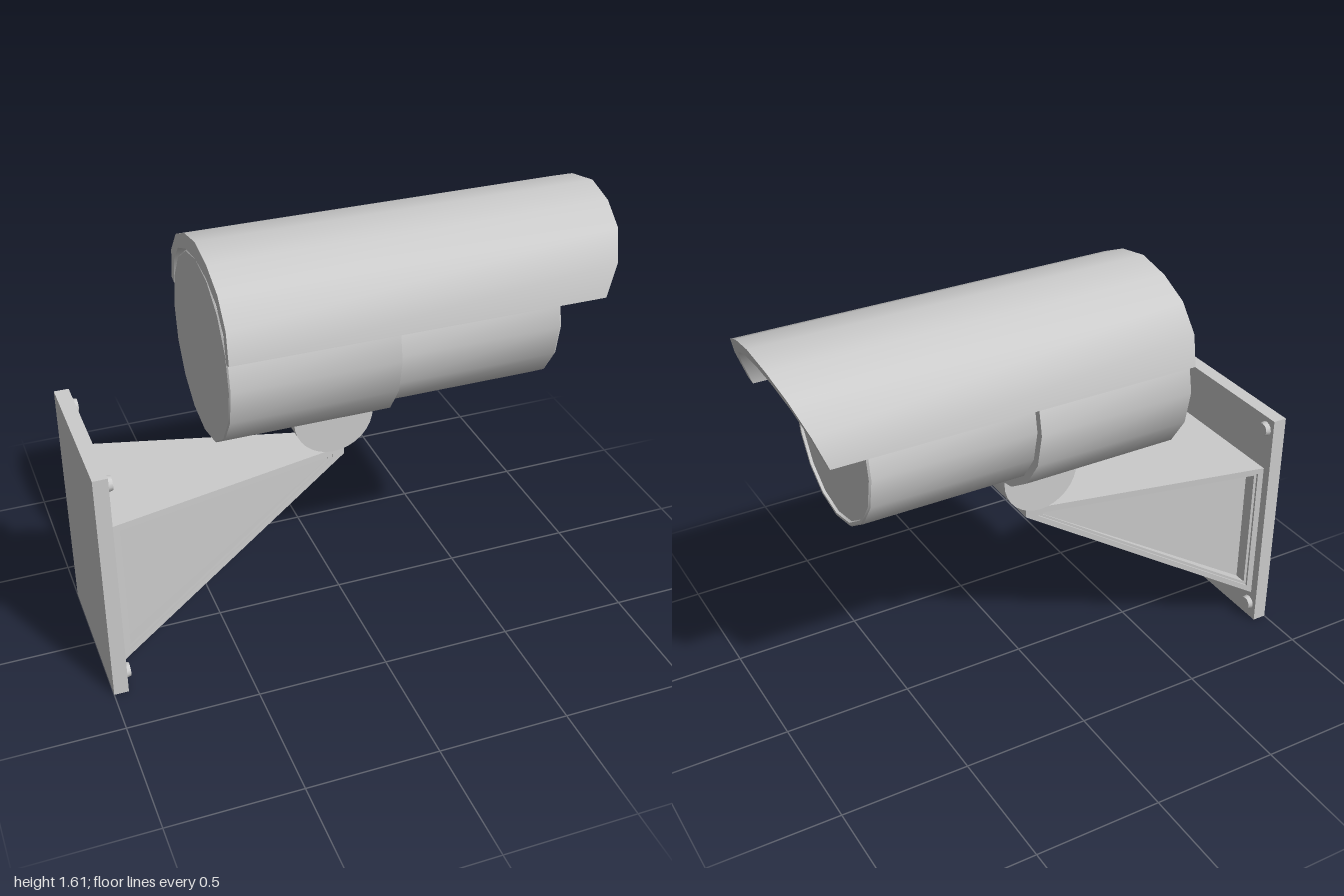
import * as THREE from 'three';
import { toCreasedNormals } from 'three/addons/utils/BufferGeometryUtils.js';

const material = new THREE.MeshStandardMaterial({ color: 0xcccccc });

// Tapered wedge arm with a stepped recess in each side, lofted from +z to -z
function bracketGeometry() {
  const rim = x => 0.056 - 0.238 * x;
  const ledge = x => rim(x) - 0.008;
  const floor = x => 0.048 - 0.185 * x;
  const outline = d => {
    const x0 = -0.945 + d, x1 = -2.2 * d;
    const top = x => 0.72 - 0.0159 * (x + 0.945) - d;
    const bottom = x => 0.12 + 0.582 * (x + 0.945) + 1.157 * d;
    return [[x0, top(x0)], [x0, bottom(x0)], [x1, bottom(x1)], [x1, top(x1)]];
  };
  const steps = [[0.032, floor], [0.032, ledge], [0.022, ledge], [0.022, rim], [0, rim]];
  const half = s => steps.map(([d, z]) => outline(d).map(([x, y]) => [x, y, s * z(x)]));
  const loops = [...half(1), ...half(-1).reverse()];
  const out = [];
  const quad = (a, b, c, d) => out.push(...a, ...b, ...c, ...a, ...c, ...d);
  for (let i = 0; i < loops.length - 1; i++) {
    for (let j = 0; j < 4; j++) {
      const k = (j + 1) % 4;
      quad(loops[i][j], loops[i + 1][j], loops[i + 1][k], loops[i][k]);
    }
  }
  quad(...loops[0]);
  quad(...[...loops[loops.length - 1]].reverse());
  const geo = new THREE.BufferGeometry();
  geo.setAttribute('position', new THREE.Float32BufferAttribute(out, 3));
  geo.computeVertexNormals();
  return geo;
}

// Arched sun hood, its front edge raked back towards the bottom
function hoodGeometry() {
  const outer = [[0.355, 1.31], [0.335, 1.43], [0.255, 1.525], [0.135, 1.58], [0, 1.605]];
  const inner = [[0.325, 1.3], [0.305, 1.4], [0.235, 1.48], [0.125, 1.525], [0, 1.54]];
  const arch = half => [...half, ...half.slice(0, -1).reverse().map(([z, y]) => [-z, y])];
  const shape = new THREE.Shape(
    [...arch(outer), ...arch(inner).reverse()].map(p => new THREE.Vector2(...p)));
  const geo = new THREE.ExtrudeGeometry(shape, { depth: 1, bevelEnabled: false });
  geo.rotateY(Math.PI / 2);
  const pos = geo.attributes.position;
  for (let i = 0; i < pos.count; i++) {
    const front = 0.885 + 0.11 * (pos.getY(i) - 1.31) / 0.29;
    pos.setX(i, pos.getX(i) > 0.5 ? front : -0.52);
  }
  return toCreasedNormals(geo, 0.6);
}

export function createModel() {
  const model = new THREE.Group();
  const add = (name, geometry, x = 0, y = 0, z = 0) => {
    const mesh = new THREE.Mesh(geometry, material);
    mesh.name = name;
    mesh.position.set(x, y, z);
    model.add(mesh);
  };

  // Wall plate and its four bolts
  add('wallPlate', new THREE.BoxGeometry(0.055, 0.945, 0.63), -0.9725, 0.4725, 0);
  const bolt = new THREE.CylinderGeometry(0.026, 0.03, 0.02, 12).rotateZ(-Math.PI / 2);
  for (const y of [0.065, 0.895]) {
    for (const z of [-0.27, 0.27]) add('bolt', bolt, -0.936, y, z);
  }

  // Arm and pivot
  add('bracket', bracketGeometry());
  const pivot = new THREE.CylinderGeometry(0.155, 0.155, 0.16, 32).rotateX(Math.PI / 2);
  add('pivot', pivot, -0.05, 0.86, 0);

  // Housing: wide rear barrel, narrower front barrel and a shallow window
  const profile = [
    [0, -0.52], [0.34, -0.52], [0.345, -0.515], [0.345, 0.105], [0.315, 0.105],
    [0.315, 0.73], [0.31, 0.737], [0.3, 0.737], [0.297, 0.727], [0, 0.727],
  ].map(p => new THREE.Vector2(...p));
  const housing = new THREE.LatheGeometry(profile, 16).rotateZ(-Math.PI / 2);
  add('housing', toCreasedNormals(housing, 0.6), 0, 1.2, 0);

  add('sunHood', hoodGeometry());
  return model;
}
